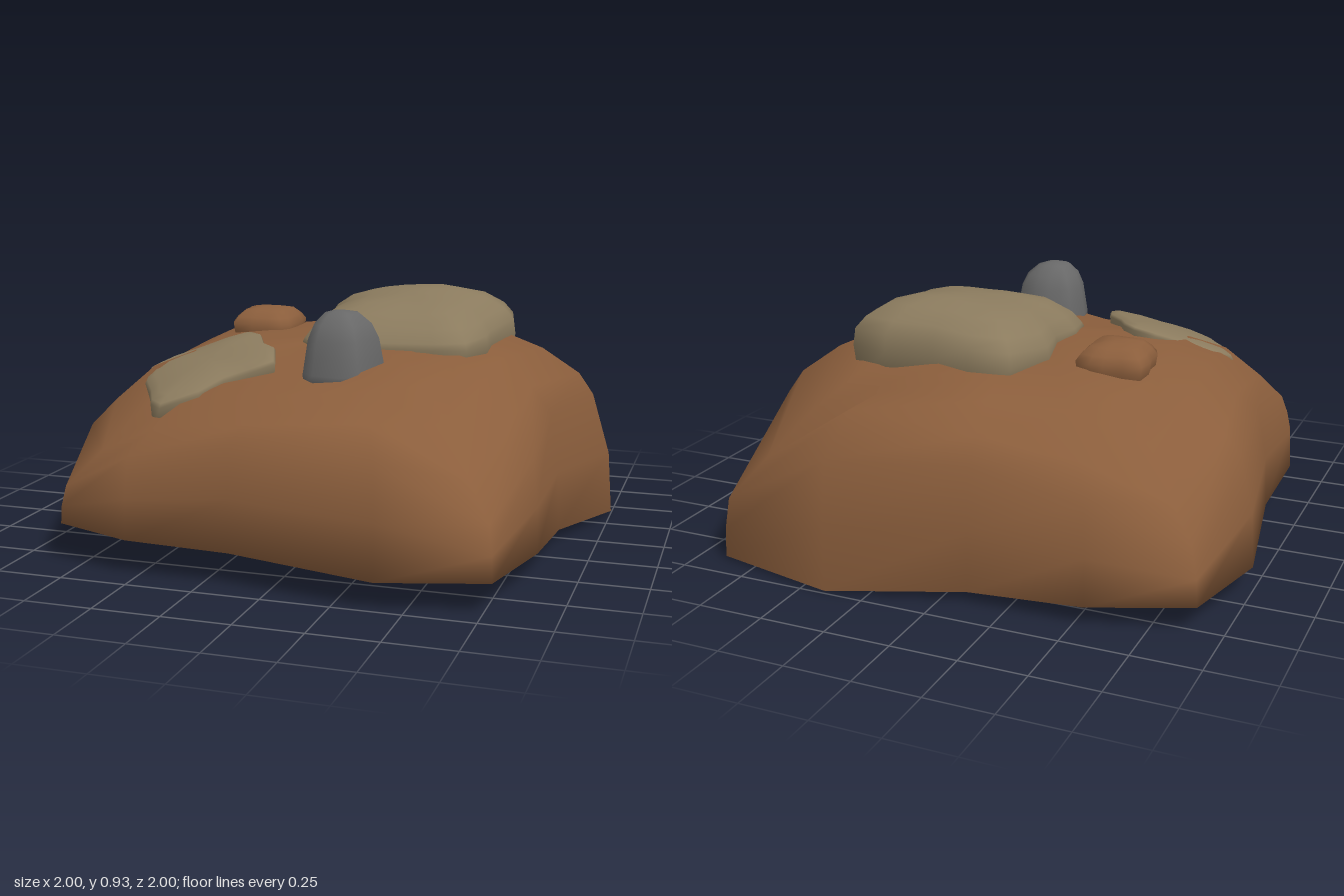
import * as THREE from 'three';

// Closed, smooth-shaded loft: an outline of [x, z] corners is scaled about a centre
// for each ring. A ring is [scale or (i) => scale, height or (x, z, i) => height].
function loft(outline, [cx, cz], rings) {
  const n = outline.length, pos = [], index = [];
  const val = (v, ...args) => (typeof v === 'function' ? v(...args) : v);
  rings.forEach(([scale, height]) => outline.forEach(([ox, oz], i) => {
    const s = val(scale, i);
    const x = cx + (ox - cx) * s, z = cz + (oz - cz) * s;
    pos.push(x, val(height, x, z, i), z);
  }));
  for (let r = 0; r < rings.length - 1; r++) {
    for (let i = 0; i < n; i++) {
      const j = (i + 1) % n;
      const a = r * n + i, b = r * n + j, c = a + n, d = b + n;
      index.push(a, c, b, b, c, d);
    }
  }
  // Close both ends with a centre point
  const bottom = rings.length * n, top = bottom + 1, last = (rings.length - 1) * n;
  pos.push(cx, val(rings[0][1], cx, cz, 0), cz);
  pos.push(cx, val(rings[rings.length - 1][1], cx, cz, 0) + 0.005, cz);
  for (let i = 0; i < n; i++) {
    const j = (i + 1) % n;
    index.push(i, j, bottom, last + i, top, last + j);
  }
  const g = new THREE.BufferGeometry();
  g.setAttribute('position', new THREE.Float32BufferAttribute(pos, 3));
  g.setIndex(index);
  g.computeVertexNormals();
  return g;
}

const bump = (x, z, px, pz, w) => Math.exp(-((x - px) ** 2 + (z - pz) ** 2) / w);

export function createModel() {
  const group = new THREE.Group();
  const material = (name, color) => {
    const m = new THREE.MeshStandardMaterial({ color });
    m.name = name;
    return m;
  };
  const earth = material('brown earth', 0x8b5e3c);
  const sandstone = material('tan stone', 0x8b7b5e);
  const slate = material('grey stone', 0x686868);
  const add = (name, geometry, mat) => {
    const mesh = new THREE.Mesh(geometry, mat);
    mesh.name = name;
    group.add(mesh);
  };

  // Mound: each corner is [x, z, foot height, foot inset, shoulder inset]
  const mound = [
    [-0.91, -0.78, 0.10, 0.60, 0.96], [-0.54, -0.87, 0.07, 0.80, 0.97],
    [-0.10, -0.865, 0.04, 0.90, 0.97], [0.40, -1.00, 0.01, 0.97, 0.975],
    [0.89, -0.89, 0.01, 0.97, 0.98], [1.00, -0.40, 0.01, 0.97, 0.915],
    [0.86, 0.06, 0.05, 0.88, 0.95], [0.86, 0.53, 0.10, 0.70, 0.97],
    [0.78, 0.92, 0.11, 0.58, 0.98], [0.40, 1.00, 0.10, 0.55, 1.00],
    [-0.15, 0.91, 0.12, 0.56, 0.98], [-0.54, 0.91, 0.13, 0.54, 0.98],
    [-0.84, 0.82, 0.14, 0.52, 0.98], [-0.91, 0.53, 0.14, 0.54, 0.95],
    [-0.91, 0.13, 0.12, 0.57, 0.95], [-1.00, -0.40, 0.10, 0.55, 0.93],
  ];
  // Height falls away towards the four corners
  const cornerDrop = (x, z) => 0.55 * Math.max(0, Math.min(Math.abs(x), Math.abs(z)) - 0.4);
  const shoulder = (x, z) => 0.5 - cornerDrop(x, z);
  // Upper ground with a dip under the slab and swells beside the other stones
  const ground = (base) => (x, z) => base - cornerDrop(x, z)
    - 0.05 * bump(x, z, -0.26, 0.58, 0.06)
    - 0.015 * THREE.MathUtils.smoothstep(z, 0.1, 0.6)
    - 0.02 * THREE.MathUtils.smoothstep(-x, 0.5, 0.75) * THREE.MathUtils.smoothstep(-z, -0.3, 0.2)
    + 0.015 * bump(x, z, 0.18, 0.68, 0.05)
    + 0.03 * bump(x, z, 0.35, 0.9, 0.03)
    + 0.04 * bump(x, z, 0.58, -0.12, 0.07)
    + 0.09 * bump(x, z, 0.4, -0.9, 0.03);
  add('mound', loft(mound, [0, 0], [
    [(i) => mound[i][3], 0],
    [1, (x, z, i) => mound[i][2]],
    [(i) => 0.8 + 0.2 * mound[i][4], (x, z, i) => (mound[i][2] + shoulder(x, z)) / 2],
    [(i) => mound[i][4], shoulder],
    [0.86, ground(0.58)],
    [0.72, ground(0.67)],
    [0.58, ground(0.72)],
    [0.38, ground(0.74)],
    [0.15, ground(0.75)],
  ]), earth);

  // Large flat rock, highest towards the back
  const large = [
    [-0.10, -0.48], [0.06, -0.505], [0.22, -0.47], [0.42, -0.47], [0.58, -0.42],
    [0.61, -0.28], [0.565, -0.04], [0.57, 0.06], [0.52, 0.20], [0.40, 0.23],
    [0.24, 0.235], [0.09, 0.26], [-0.06, 0.235], [-0.13, 0.17], [-0.15, 0.04],
    [-0.13, -0.11], [-0.175, -0.30],
  ];
  const tilt = (base) => (x, z) => base + 0.02 * (x - 0.22) - 0.06 * (z + 0.12)
    + 0.02 * bump(x, z, 0.28, -0.29, 0.03);
  add('largeRock', loft(large, [0.22, -0.12], [
    [0.97, 0.62],
    [1, 0.745],
    [0.98, tilt(0.785)],
    [0.89, tilt(0.83)],
    [0.7, tilt(0.877)],
    [0.45, tilt(0.9)],
    [0.2, tilt(0.906)],
  ]), sandstone);

  // Leaning slab that follows the front-left slope
  const slab = [
    [-0.70, 0.33], [-0.64, 0.27], [-0.53, 0.22], [-0.43, 0.16], [-0.35, 0.14],
    [-0.29, 0.19], [-0.24, 0.29], [-0.17, 0.36], [-0.12, 0.50], [-0.20, 0.54],
    [-0.29, 0.58], [-0.35, 0.67], [-0.48, 0.725], [-0.54, 0.67], [-0.59, 0.57],
    [-0.66, 0.46],
  ];
  const slope = (lift) => (x, z) => 0.885 + 0.225 * x - 0.269 * z + lift;
  add('slopingRock', loft(slab, [-0.41, 0.43], [
    [0.97, slope(-0.1)],
    [1, slope(-0.01)],
    [0.97, slope(0.003)],
    [0.85, slope(0.017)],
    [0.5, slope(0.03)],
  ]), sandstone);

  // Upright grey stone
  const upright = [
    [0.01, 0.38], [0.05, 0.37], [0.10, 0.335], [0.17, 0.345], [0.24, 0.36],
    [0.275, 0.43], [0.245, 0.53], [0.225, 0.595], [0.17, 0.625], [0.06, 0.61],
    [0.01, 0.57], [-0.012, 0.48],
  ];
  add('uprightStone', loft(upright, [0.12, 0.48], [
    [1, 0.66],
    [1, 0.70],
    [0.93, 0.76],
    [0.86, 0.82],
    [0.7, 0.872],
    [0.42, 0.91],
    [0.2, 0.917],
  ]), slate);

  // Small brown rock
  const small = [
    [-0.54, -0.32], [-0.47, -0.33], [-0.40, -0.345], [-0.35, -0.35], [-0.29, -0.33],
    [-0.285, -0.27], [-0.28, -0.20], [-0.285, -0.12], [-0.31, -0.085], [-0.37, -0.08],
    [-0.44, -0.085], [-0.52, -0.09], [-0.54, -0.14], [-0.54, -0.20], [-0.55, -0.25],
  ];
  add('smallRock', loft(small, [-0.41, -0.215], [
    [0.9, 0.66],
    [0.97, 0.73],
    [1, 0.76],
    [0.87, 0.785],
    [0.65, 0.811],
    [0.3, 0.82],
  ]), earth);

  return group;
}
